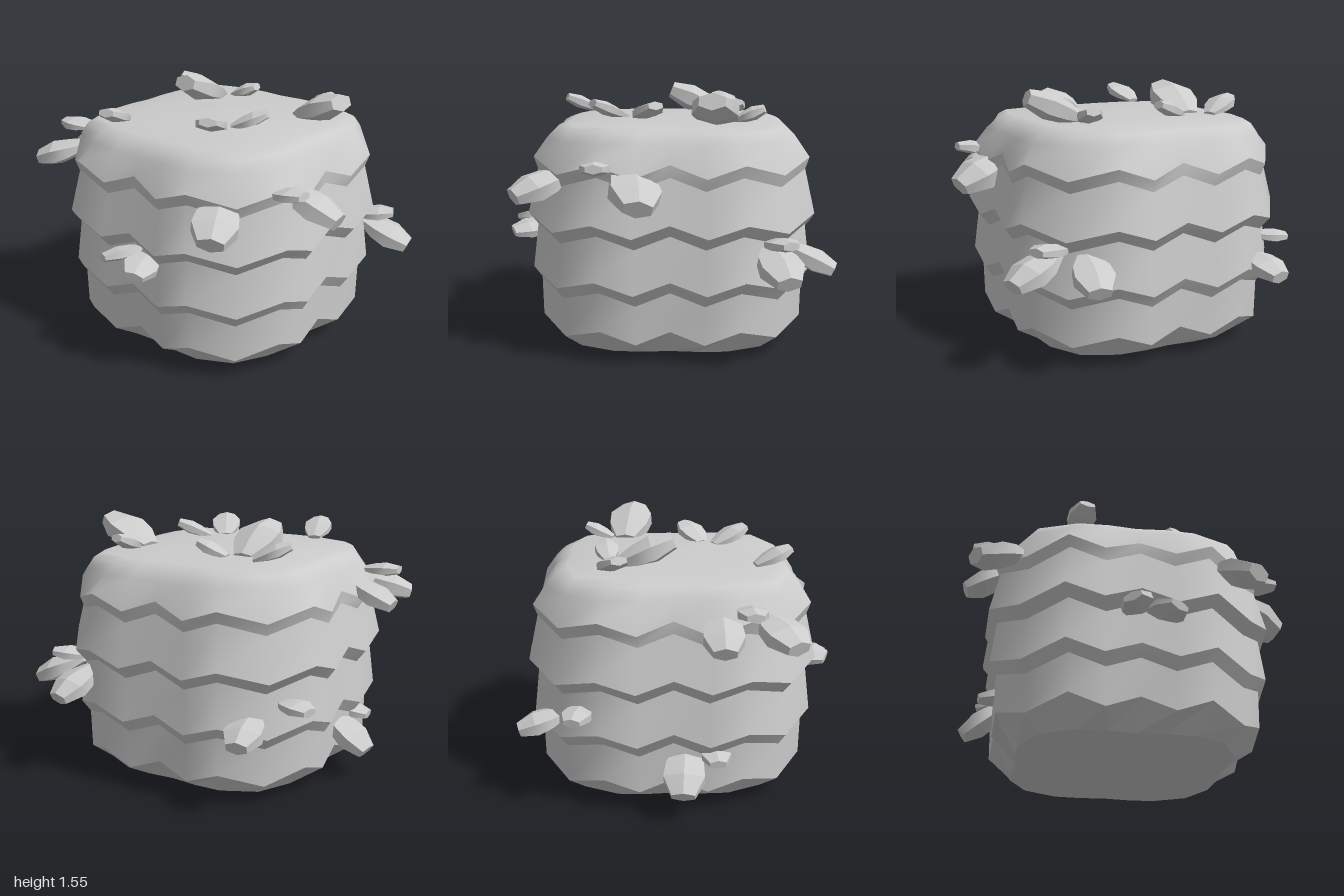
import * as THREE from 'three';
import { toCreasedNormals } from 'three/addons/utils/BufferGeometryUtils.js';

const SIDES = 24;

// Rounded-square ring: half-width w, zigzag between peak and trough, corner fullness c,
// depth of the middle of each side m
function ring(w, peak, trough = peak, c = 0.8, m = 0.99) {
  const quarter = [[0, m], [0.255, 1.012], [0.52, 1], [c, c], [1, 0.52], [1.012, 0.255]];
  const pts = [];
  for (let q = 0; q < 4; q++) {
    const cos = Math.cos(q * Math.PI / 2), sin = Math.sin(q * Math.PI / 2);
    quarter.forEach(([x, z], i) => pts.push(new THREE.Vector3(
      w * (x * cos + z * sin), i % 2 ? trough : peak, w * (z * cos - x * sin))));
  }
  return pts;
}

// Skin a stack of rings from bottom to top
function loft(rings, flat = false) {
  const idx = [];
  for (let k = 0; k < rings.length - 1; k++) {
    for (let i = 0; i < SIDES; i++) {
      const a = k * SIDES + i, b = k * SIDES + (i + 1) % SIDES;
      idx.push(a, b, b + SIDES, a, b + SIDES, a + SIDES);
    }
  }
  let g = new THREE.BufferGeometry().setFromPoints(rings.flat());
  g.setIndex(idx);
  if (flat) g = g.toNonIndexed();
  g.computeVertexNormals();
  return g;
}

// Six-sided blunt pod of unit length and width, lying along z with its tip at the origin
function leafGeometry() {
  const profile = [[0, 0], [0.25, 0], [0.52, 0.35], [0.57, 0.65], [0.32, 1], [0, 1]]
    .map(([r, y]) => new THREE.Vector2(r, y));
  const g = new THREE.LatheGeometry(profile, 6).rotateX(Math.PI / 2).translate(0, 0, -1);
  // Thicken towards the tip
  const p = g.attributes.position;
  for (let i = 0; i < p.count; i++) p.setY(i, p.getY(i) * (1 + 0.5 * (1 + p.getZ(i))));
  return toCreasedNormals(g, 0.7);
}

export function createModel() {
  const model = new THREE.Group();
  const material = new THREE.MeshStandardMaterial({ color: 0xcccccc });
  const add = (name, geometry, parent = model) => {
    const mesh = new THREE.Mesh(geometry, material);
    mesh.name = name;
    parent.add(mesh);
    return mesh;
  };
  const body = new THREE.Group();
  body.name = 'body';
  body.position.z = -0.01;
  model.add(body);

  // Tiers of foliage: bottom width, its peak height, top width, its peak height
  const drop = 0.075;
  const tiers = [
    [0.77, 0.20, 0.775, 0.43],
    [0.82, 0.50, 0.79, 0.76],
    [0.842, 0.83, 0.785, 1.09]
  ].map(([w0, y0, w1, y1]) => [ring(w0, y0, y0 - drop), ring(w1, y1, y1 - drop)]);
  const topLip = ring(0.808, 1.16, 1.16 - drop, 0.8, 0.96);
  tiers.forEach(([low, high], i) => {
    add('tierWall' + (i + 1), loft([low, high]), body);
    // Zigzag overhang under the next tier
    const next = i < tiers.length - 1 ? tiers[i + 1][0] : topLip;
    add('tierOverhang' + (i + 1), loft([high, next]), body);
  });

  // Rounded crown
  add('crown', loft([topLip, ring(0.735, 1.265, 1.265, 0.83), ring(0.675, 1.325, 1.325, 0.86),
    ring(0.61, 1.35, 1.35, 0.89), ring(0.4, 1.372, 1.372, 0.9), ring(0, 1.385)]), body);

  // Tapered skirt and shallow underside
  const foot = ring(0.63, 0.04, 0.04, 0.84);
  add('skirt', loft([foot, tiers[0][0]], true), body);
  add('underside', loft([ring(0, 0), foot]), body);

  // Leaves: placed by tip, turned from the front by heading, raised by pitch (degrees)
  const leaves = new THREE.Group();
  leaves.name = 'leaves';
  model.add(leaves);
  const leafShape = leafGeometry();
  const rad = THREE.MathUtils.degToRad;
  const addLeaf = (name, x, y, z, heading, pitch, width, roll = 0) => {
    const leaf = add(name, leafShape, leaves);
    leaf.position.set(x, y, z);
    leaf.rotation.set(rad(-pitch), rad(heading), rad(roll), 'YXZ');
    leaf.scale.set(width, width > 0.2 ? width * 0.4 : 0.055, width * 1.35);
  };

  // Crown leaves all rise at one angle: tip x, tip z, heading, width
  [
    [-0.6, -0.31, -65, 0.17],
    [-0.3, 0, 0, 0.27],
    [-0.05, -0.41, 100, 0.14],
    [0.44, -0.55, 170, 0.14],
    [0.71, -0.24, 80, 0.27],
    [0.42, 0.08, 122, 0.17],
    [0.29, 0.46, 29, 0.18],
    [-0.3, 0.68, 15, 0.17]
  ].forEach(([x, z, heading, width], i) =>
    addLeaf('crownLeaf' + (i + 1), x, 1.375 + width * 0.48, z, heading, 22, width));

  // Side leaves by cluster: tip x, y, z, heading, pitch, width, roll
  const clusters = {
    frontLeaf: [[-0.08, 0.70, 0.96, -24, -5, 0.19, 18], [0.18, 0.66, 0.97, 23, -8, 0.2, -14]],
    frontCornerLeaf: [[0.67, 0.96, 0.88, 30, -20, 0.26, -8]],
    leftLeaf: [[0.99, 0.95, 0.16, 99, -25, 0.29, -10], [0.92, 1.155, 0.4, 90, 6, 0.17]],
    backLeftLeaf: [[0.98, 0.54, -0.66, 106, -24, 0.25], [0.85, 0.72, -0.68, 116, 5, 0.18],
      [0.6, 0.53, -0.95, 170, -26, 0.23]],
    rightUpperLeaf: [[-0.94, 1.05, 0.66, -61, -18, 0.25], [-0.96, 1.23, 0.42, -86, 2, 0.17],
      [-0.99, 1.04, 0.26, -90, -25, 0.23]],
    rightLowerLeaf: [[-0.95, 0.18, 0.04, -95, -36, 0.24], [-0.87, 0.34, 0.24, -86, -8, 0.17]],
    backRightLeaf: [[-0.6, 0.45, -0.91, -170, -18, 0.22], [-0.87, 0.6, -0.58, -105, -5, 0.17]]
  };
  for (const [name, cluster] of Object.entries(clusters)) {
    cluster.forEach((placement, i) => addLeaf(name + (i + 1), ...placement));
  }
  return model;
}
